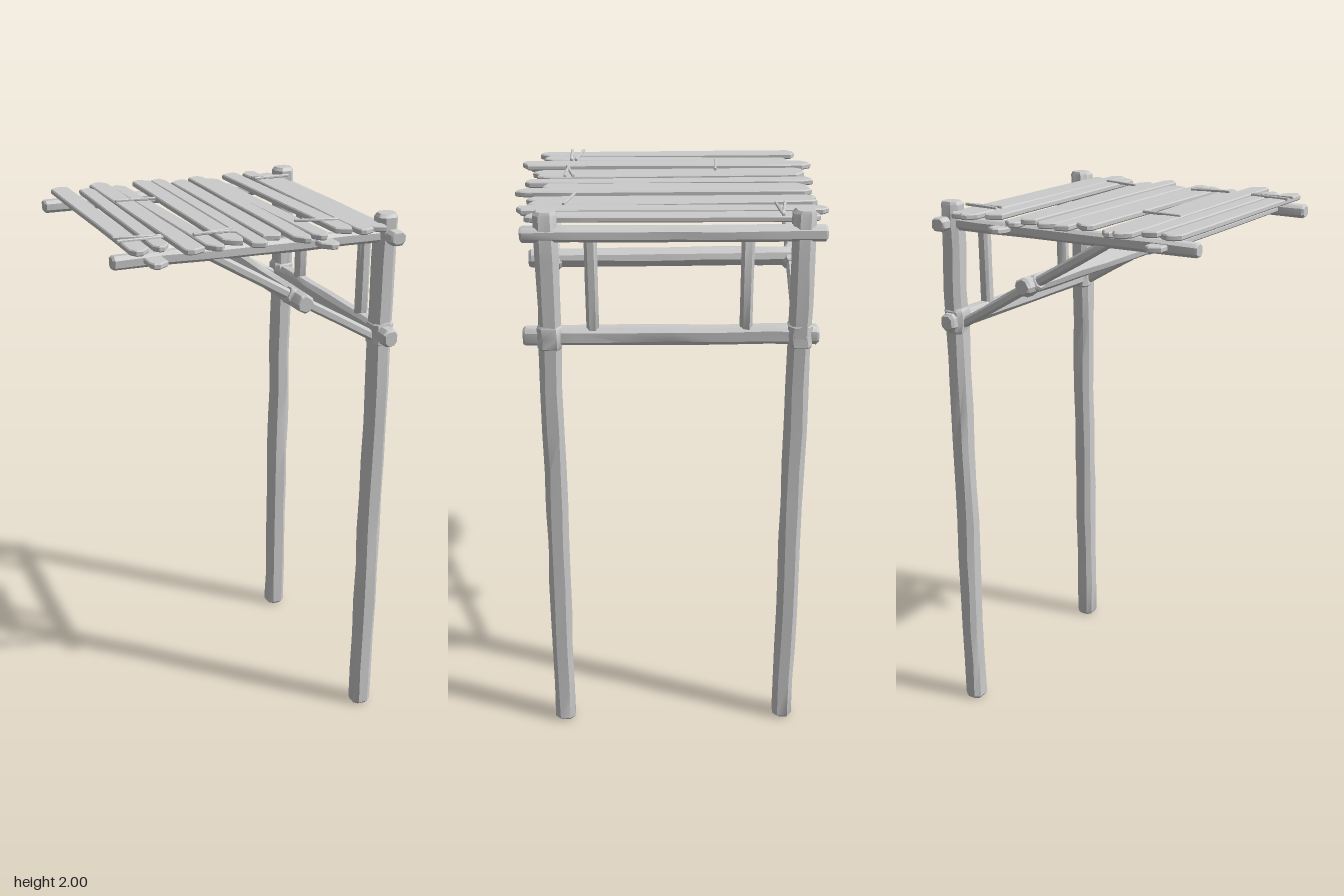
import * as THREE from 'three';
import { toCreasedNormals } from 'three/addons/utils/BufferGeometryUtils.js';

const material = new THREE.MeshStandardMaterial({ color: 0xcccccc });

let state = 7;
const rand = () => (state = (state * 16807) % 2147483647) / 2147483647;
const jitter = (amount) => (rand() - 0.5) * 2 * amount;

// Hewn timber from point a to point b: chamfered section, worn ends, slight unevenness
function timber(name, a, b, w, h = w, { roll = 0, chamfer = 0.24, wobble = 0.03 } = {}) {
  const start = new THREE.Vector3(...a), end = new THREE.Vector3(...b);
  const length = start.distanceTo(end);
  const c = 0.5 - chamfer;
  const section = [[0.5, -c], [0.5, c], [c, 0.5], [-c, 0.5], [-0.5, c], [-0.5, -c], [-c, -0.5], [c, -0.5]];
  const bevel = Math.min(w, h) * 0.16;
  const steps = Math.max(2, Math.round(length / 0.16));
  const rings = [[-length / 2, 0.78]];
  for (let i = 0; i <= steps; i++) rings.push([-length / 2 + bevel + ((length - 2 * bevel) * i) / steps, 1]);
  rings.push([length / 2, 0.78]);

  const pos = [], index = [], n = section.length;
  for (const [z, s] of rings) {
    const dx = jitter(wobble * w), dy = jitter(wobble * h);
    for (const [x, y] of section) {
      pos.push(x * w * s + dx + jitter(wobble * w), y * h * s + dy + jitter(wobble * h), z);
    }
  }
  for (let r = 0; r < rings.length - 1; r++) {
    for (let k = 0; k < n; k++) {
      const p = r * n + k, q = r * n + ((k + 1) % n);
      index.push(p, q, q + n, p, q + n, p + n);
    }
  }
  const last = (rings.length - 1) * n;
  for (let k = 1; k < n - 1; k++) {
    index.push(0, k + 1, k, last, last + k, last + k + 1);
  }
  const geometry = new THREE.BufferGeometry();
  geometry.setAttribute('position', new THREE.Float32BufferAttribute(pos, 3));
  geometry.setIndex(index);
  geometry.rotateZ(roll);
  const mesh = new THREE.Mesh(toCreasedNormals(geometry, 0.6), material);
  mesh.name = name;
  mesh.position.copy(start).lerp(end, 0.5);
  mesh.lookAt(end);
  return mesh;
}

// Roof board with splintered ends; x0 and x1 are its centres at the back and front ends
function plank(x0, x1, z0, z1, w, y, thickness) {
  const outline = [];
  const centre = (z) => x0 + ((x1 - x0) * (z - z0)) / (z1 - z0);
  const add = (side, z) => outline.push(new THREE.Vector2(centre(z) + side * w / 2, -z));
  const tip0 = jitter(0.5), tip1 = jitter(0.5);
  add(-1, z0 + 0.015 + rand() * 0.025);
  for (let i = 1; i < 5; i++) add(-1 + jitter(0.05), z0 + ((z1 - z0) * i) / 5);
  add(-1, z1 - 0.015 - rand() * 0.025);
  add(tip1 - 0.3, z1 - rand() * 0.008);
  add(tip1 + 0.3, z1);
  add(1, z1 - 0.015 - rand() * 0.025);
  for (let i = 4; i > 0; i--) add(1 + jitter(0.05), z0 + ((z1 - z0) * i) / 5);
  add(1, z0 + 0.015 + rand() * 0.025);
  add(tip0 + 0.3, z0);
  add(tip0 - 0.3, z0 + rand() * 0.008);
  const bevel = 0.004;
  const geometry = new THREE.ExtrudeGeometry(new THREE.Shape(outline), {
    depth: thickness - 2 * bevel, bevelSize: bevel, bevelThickness: bevel, bevelOffset: -bevel, bevelSegments: 1,
  });
  geometry.translate(0, 0, bevel - thickness / 2);
  geometry.rotateX(-Math.PI / 2);
  const mesh = new THREE.Mesh(toCreasedNormals(geometry, 0.5), material);
  mesh.name = 'roofPlank';
  mesh.position.y = y;
  mesh.rotation.x = jitter(0.006);
  return mesh;
}

export function createModel() {
  state = 7;
  const model = new THREE.Group();
  model.name = 'leanToShelter';
  const postX = 0.47, postZ = [0.404, -0.433];

  // Posts, with roof beams, braces and bindings on each side
  for (const z of postZ) {
    model.add(
      timber('post', [postX, 0, z], [postX, 2, z], 0.074, 0.074),
      timber('roofBeam', [-0.515, 1.925, z], [0.49, 1.925, z], 0.05, 0.046),
      timber('brace', [0.47, 1.545, z], [-0.18, 1.918, z], 0.035, 0.035),
      timber('postBinding', [postX, 1.525, z], [postX, 1.62, z], 0.08, 0.08, { chamfer: 0.2 }),
      timber('braceBinding', [0.168, 1.717, z], [0.102, 1.755, z], 0.058, 0.058),
    );
  }

  // Cross beams joining the two sides
  model.add(
    timber('lowerCrossBeam', [postX, 1.572, 0.492], [postX, 1.572, -0.497], 0.056, 0.062),
    timber('upperCrossBeam', [0.48, 1.925, 0.486], [0.48, 1.925, -0.508], 0.058, 0.048),
    timber('braceCrossBeam', [0.135, 1.736, 0.492], [0.135, 1.742, -0.495], 0.06, 0.06, { roll: Math.PI / 6 }),
  );

  // Short uprights between the lower and upper cross beams
  for (const z of [0.26, -0.253]) {
    model.add(timber('upright', [postX, 1.585, z], [postX, 1.915, z], 0.042, 0.042));
  }

  // Roof planks: back x, front x, back z, front z, width, height
  const roof = new THREE.Group();
  roof.name = 'roof';
  const planks = [
    [-0.437, -0.434, -0.50, 0.48, 0.070, 1.967],
    [-0.380, -0.382, -0.515, 0.515, 0.064, 1.927],
    [-0.340, -0.357, -0.465, 0.46, 0.058, 1.965],
    [-0.275, -0.273, -0.542, 0.537, 0.072, 1.967],
    [-0.206, -0.181, -0.505, 0.49, 0.058, 1.957],
    [-0.112, -0.110, -0.50, 0.47, 0.072, 1.967],
    [-0.038, -0.038, -0.522, 0.508, 0.058, 1.962],
    [0.040, 0.038, -0.498, 0.442, 0.072, 1.960],
    [0.112, 0.112, -0.498, 0.53, 0.062, 1.966],
    [0.175, 0.198, -0.508, 0.485, 0.062, 1.955],
    [0.235, 0.222, -0.517, 0.505, 0.066, 1.927],
    [0.255, 0.288, -0.498, 0.475, 0.066, 1.968],
    [0.347, 0.347, -0.526, 0.507, 0.060, 1.966],
    [0.413, 0.410, -0.490, 0.475, 0.068, 1.960],
  ];
  for (const p of planks) roof.add(plank(...p, 0.02));

  // Thin lashing sticks over the planks: x0, z0, x1, z1
  const sticks = [
    [-0.31, -0.187, -0.16, -0.178],
    [-0.48, 0.315, -0.322, 0.34], [-0.48, 0.36, -0.322, 0.357],
    [-0.22, 0.368, -0.07, 0.338], [-0.22, 0.36, -0.07, 0.369],
    [0.165, 0.317, 0.315, 0.353],
    [0.31, -0.385, 0.46, -0.364], [0.31, -0.354, 0.46, -0.366],
  ];
  for (const [x0, z0, x1, z1] of sticks) {
    roof.add(timber('lashingStick', [x0, 1.979, z0], [x1, 1.979, z1], 0.01, 0.01));
  }
  model.add(roof);
  return model;
}
